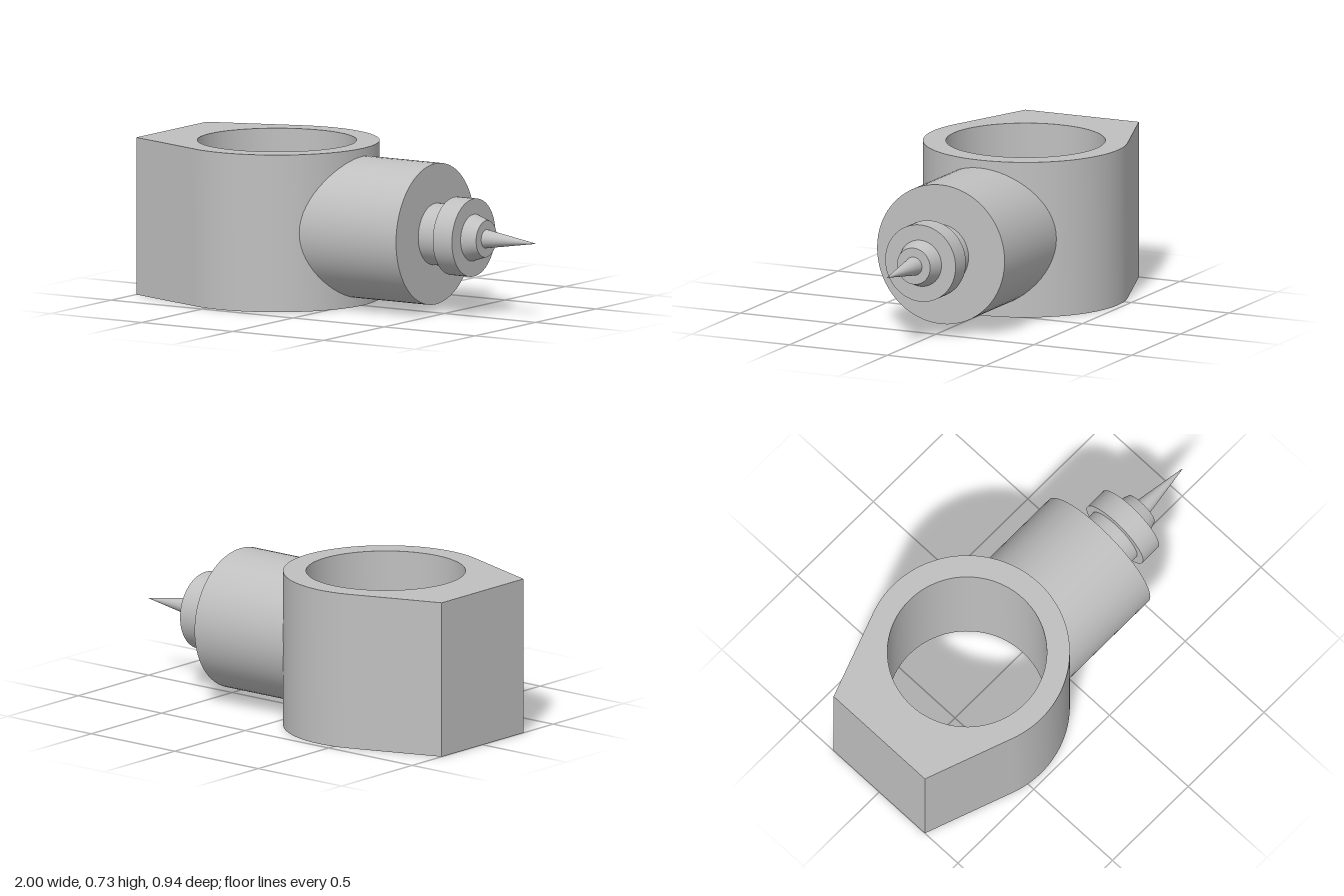
import * as THREE from 'three';
import { toCreasedNormals } from 'three/addons/utils/BufferGeometryUtils.js';

const HEIGHT = 0.727, AXIS_Y = 0.364;
const RING_X = -0.42, OUTER = 0.47, HOLE = 0.365;

export function createModel() {
  const group = new THREE.Group();
  const grey = new THREE.MeshStandardMaterial({ color: 0xc0c0c0 });
  grey.name = 'plain grey';

  function add(name, geometry, y = 0) {
    const mesh = new THREE.Mesh(geometry, grey);
    mesh.name = name;
    mesh.position.y = y;
    group.add(mesh);
  }

  // Cylinder along x from x0 (radius r0) to x1 (radius r1)
  function turned(x0, x1, r0, r1, open = false) {
    return new THREE.CylinderGeometry(r1, r0, x1 - x0, 64, 1, open)
      .rotateZ(-Math.PI / 2).translate((x0 + x1) / 2, 0, 0);
  }

  // Ring body: round front, straight tangent sides to a flat back, through hole
  const backX = -1, backZ = 0.29;
  const dx = backX - RING_X;
  const tangent = Math.atan2(backZ, dx) - Math.acos(OUTER / Math.hypot(dx, backZ));
  const outline = new THREE.Shape();
  outline.moveTo(backX, backZ);
  outline.lineTo(backX, -backZ);
  outline.absarc(RING_X, 0, OUTER, -tangent, tangent, false);
  outline.closePath();
  const hole = new THREE.Path();
  hole.absarc(RING_X, 0, HOLE, 0, Math.PI * 2, true);
  outline.holes.push(hole);
  const ring = new THREE.ExtrudeGeometry(outline, { depth: HEIGHT, bevelEnabled: false, curveSegments: 48 });
  ring.rotateX(-Math.PI / 2);
  add('ringBody', toCreasedNormals(ring, 0.6));

  // Barrel: its inner rim follows the ring wall so the hole stays clear
  const barrel = turned(-0.1, 0.45, 0.326, 0.326, true);
  const pos = barrel.attributes.position;
  for (let i = 0; i < pos.count; i++) {
    if (pos.getX(i) < 0) pos.setX(i, RING_X + Math.sqrt((OUTER - 0.03) ** 2 - pos.getZ(i) ** 2));
  }
  add('barrel', barrel, AXIS_Y);
  add('barrelFace', new THREE.CircleGeometry(0.326, 64).rotateY(Math.PI / 2).translate(0.45, 0, 0), AXIS_Y);

  // Stepped nozzle and needle
  add('neck', turned(0.45, 0.555, 0.142, 0.142), AXIS_Y);
  add('collar', turned(0.555, 0.66, 0.18, 0.18), AXIS_Y);
  add('taper', turned(0.66, 0.73, 0.108, 0.085), AXIS_Y);
  add('needle', turned(0.73, 1, 0.043, 0.001), AXIS_Y);

  return group;
}
